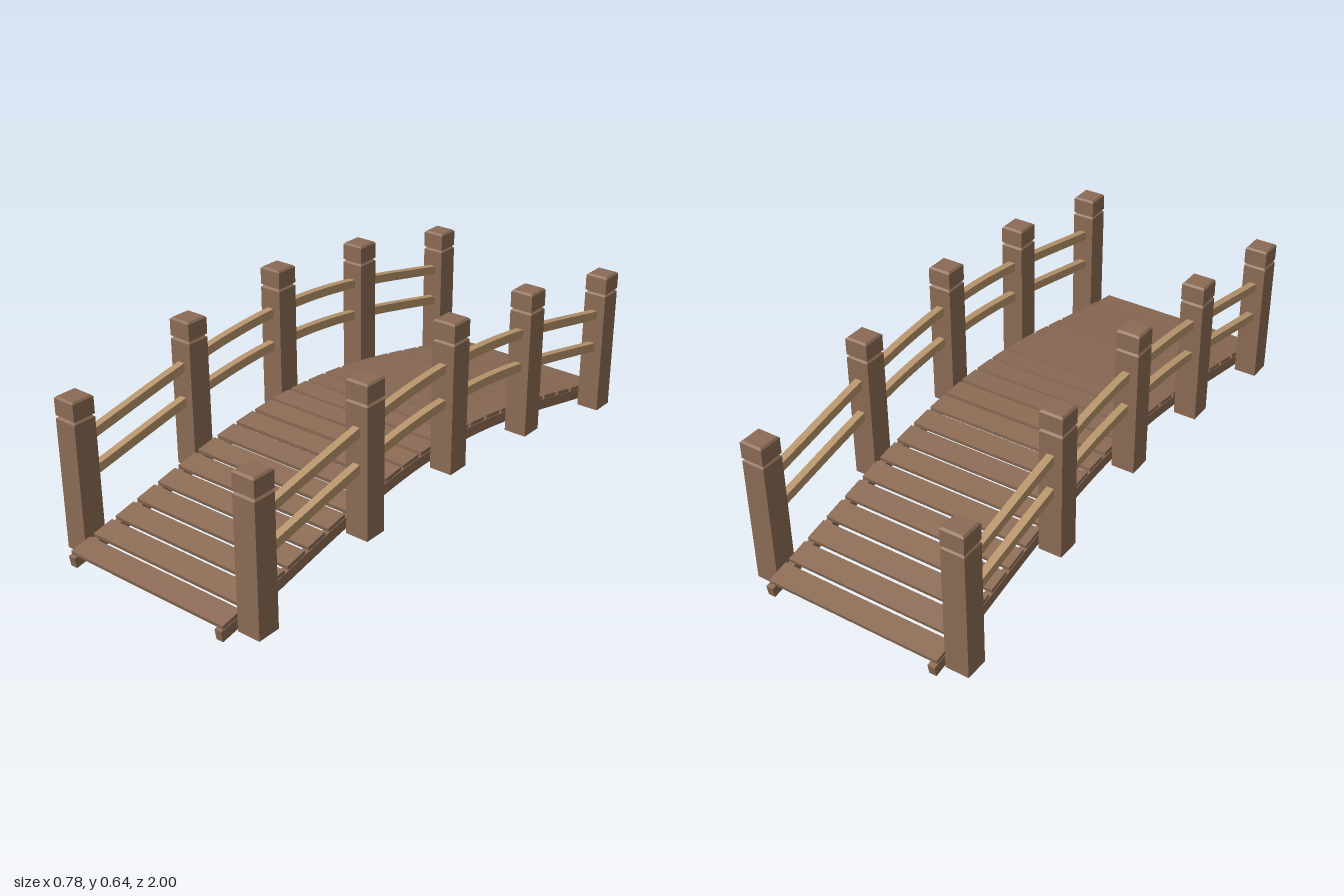
import * as THREE from 'three';

const darkWood = new THREE.MeshStandardMaterial({ color: 0x8b6b55, flatShading: true });
const railWood = new THREE.MeshStandardMaterial({ color: 0xb8956c, flatShading: true });

// Arch of the bridge: drop below the crown, and its slope, at a given z
const CROWN = -0.01, WAVE = 2.2;
const drop = (z, amp = 0.1) => amp * (1 - Math.cos(WAVE * (z - CROWN)));
const slope = (z, amp = 0.1) => -amp * WAVE * Math.sin(WAVE * (z - CROWN));

// Curved timber following the arch: outline in the z/y plane, extruded along x
function archBeam(y0, height, width, zMin, zMax, amp) {
  const upper = [], lower = [], steps = 32;
  for (let i = 0; i <= steps; i++) {
    const z = zMin + (zMax - zMin) * i / steps;
    const y = y0 - drop(z, amp);
    const a = Math.atan(slope(z, amp));
    const dz = -Math.sin(a) * height / 2, dy = Math.cos(a) * height / 2;
    upper.push(new THREE.Vector2(z + dz, y + dy));
    lower.push(new THREE.Vector2(z - dz, y - dy));
  }
  const shape = new THREE.Shape([...lower, ...upper.reverse()]);
  const geo = new THREE.ExtrudeGeometry(shape, { depth: width, bevelEnabled: false });
  geo.rotateY(-Math.PI / 2);
  geo.translate(width / 2, 0, 0);
  return geo;
}

// Square post with a V groove under its chamfered cap
function postGeometry() {
  const profile = [
    [0, 0], [0.04, 0], [0.04, 0.438], [0.034, 0.444], [0.034, 0.447],
    [0.04, 0.449], [0.04, 0.504], [0.034, 0.51], [0, 0.51],
  ].map(([r, y]) => new THREE.Vector2(r * Math.SQRT2, y));
  return new THREE.LatheGeometry(profile, 4, Math.PI / 4);
}

export function createModel() {
  const model = new THREE.Group();
  model.name = 'archedFootbridge';
  const add = (name, geo, mat, x = 0, y = 0, z = 0) => {
    const mesh = new THREE.Mesh(geo, mat);
    mesh.name = name;
    mesh.position.set(x, y, z);
    model.add(mesh);
    return mesh;
  };

  // Deck planks, each tilted to the arch
  const plank = new THREE.BoxGeometry(0.616, 0.013, 0.077);
  for (let i = 0; i < 22; i++) {
    const z = -0.947 + 0.0904 * i;
    add('deckPlank', plank, darkWood, 0, 0.204 - drop(z), z).rotation.x = -Math.atan(slope(z));
  }

  // Stringers, railings and posts on both sides
  const stringer = archBeam(0.179, 0.036, 0.025, -0.996, 0.996, 0.1);
  const upperRail = archBeam(0.494, 0.03, 0.025, -0.91, 0.895, 0.095);
  const lowerRail = archBeam(0.375, 0.03, 0.025, -0.91, 0.895, 0.097);
  const post = postGeometry();
  const posts = [[-0.91, 0.005], [-0.428, 0.096], [0, 0.136], [0.419, 0.095], [0.893, 0.005]];
  for (const [side, s] of [['left', 1], ['right', -1]]) {
    add(side + 'Stringer', stringer, darkWood, s * 0.2975);
    add(side + 'UpperRail', upperRail, railWood, s * 0.35);
    add(side + 'LowerRail', lowerRail, railWood, s * 0.35);
    for (const [z, y] of posts) add(side + 'Post', post, darkWood, s * 0.35, y, z);
  }
  return model;
}
